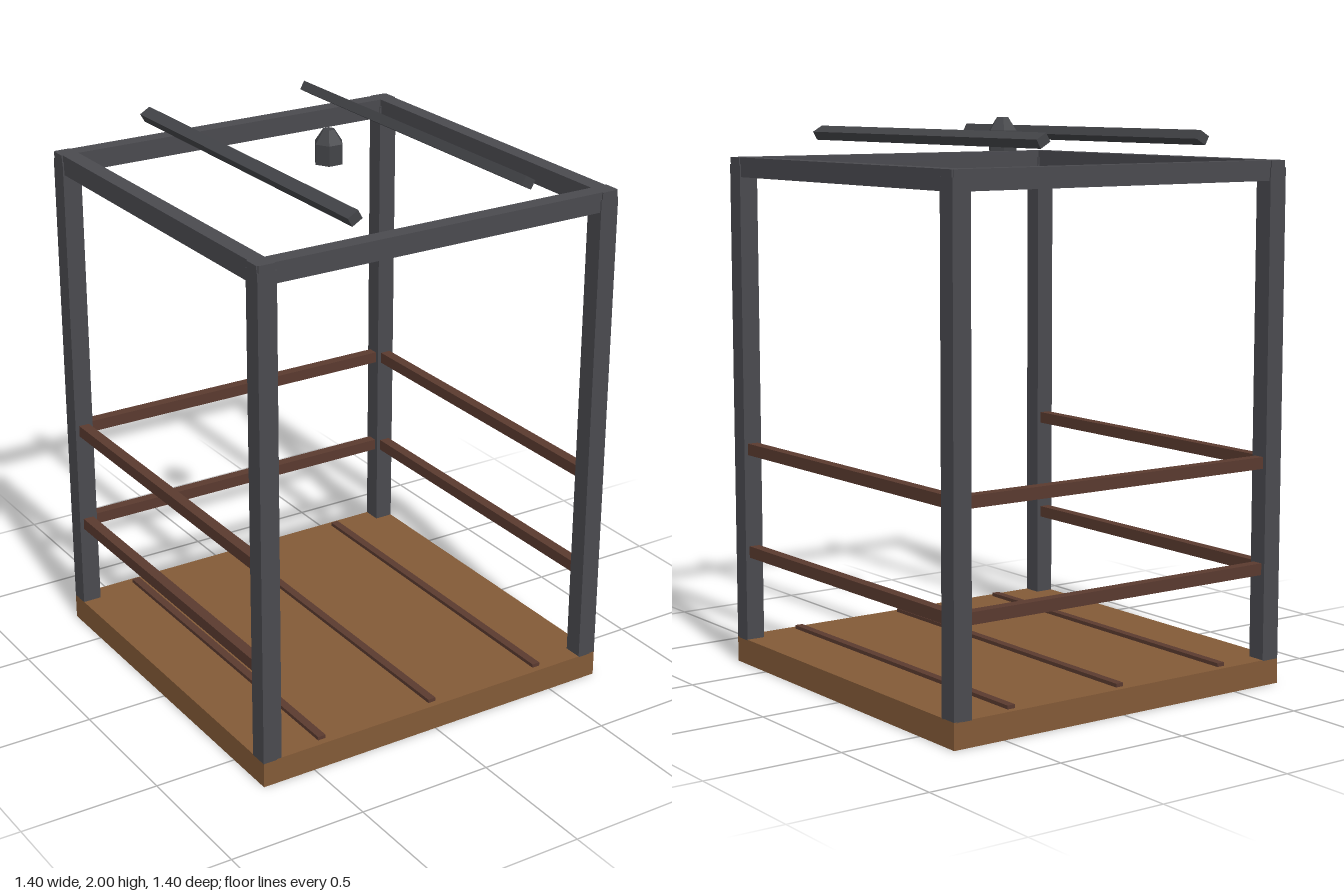
import * as THREE from 'three';

const mat = (name, color) => {
  const m = new THREE.MeshStandardMaterial({ color });
  m.name = name;
  return m;
};

export function createModel() {
  const model = new THREE.Group();
  model.name = 'openFrameCabin';

  const wood = mat('floorWood', 0x835a37);
  const darkWood = mat('darkWood', 0x5a3a2f);
  const iron = mat('frameIron', 0x4a4a4f);
  const darkIron = mat('darkIron', 0x434448);

  const add = (name, geometry, material, x, y, z) => {
    const mesh = new THREE.Mesh(geometry, material);
    mesh.name = name;
    mesh.position.set(x, y, z);
    model.add(mesh);
    return mesh;
  };
  const box = (name, material, w, h, d, x, y, z) =>
    add(name, new THREE.BoxGeometry(w, h, d), material, x, y, z);

  // Floor slab with three raised battens
  box('floor', wood, 1.4, 0.093, 1.4, 0, 0.0465, 0);
  for (const x of [-0.455, 0, 0.455]) {
    box('floorBatten', darkWood, 0.03, 0.024, 1.35, x, 0.094, 0);
  }

  // Corner posts and the top ring of beams
  const edge = 0.665;
  for (const s of [-1, 1]) {
    for (const t of [-1, 1]) {
      box('cornerPost', iron, 0.07, 1.74, 0.07, s * edge, 0.96, t * edge);
    }
    box('crossBeam', iron, 1.4, 0.07, 0.06, 0, 1.82, s * edge);
    box('sideBeam', iron, 0.06, 0.07, 1.4, s * edge, 1.82, 0);
  }

  // Two guard rails on the back and both sides; the front stays open
  for (const y of [0.42, 0.8]) {
    box('backRail', darkWood, 1.3, 0.042, 0.04, 0, y, -edge);
    for (const s of [-1, 1]) {
      box('sideRail', darkWood, 0.04, 0.042, 1.3, s * edge, y, 0);
    }
  }

  // Tilted roof bars
  for (const s of [-1, 1]) {
    const bar = box('roofBar', darkIron, 0.044, 0.034, 1.365, s * 0.335, 1.937, 0);
    bar.rotation.z = -s * Math.PI / 6;
  }

  // Six-sided hub with a tapered cap
  const hub = (name, top, bottom, y0, y1) => {
    const geometry = new THREE.CylinderGeometry(top, bottom, y1 - y0, 6).toNonIndexed();
    geometry.computeVertexNormals();
    geometry.rotateY(Math.PI / 6);
    add(name, geometry, darkIron, 0, (y0 + y1) / 2, 0);
  };
  hub('hubBody', 0.053, 0.053, 1.882, 1.953);
  hub('hubCap', 0.021, 0.053, 1.953, 2.0);

  return model;
}
